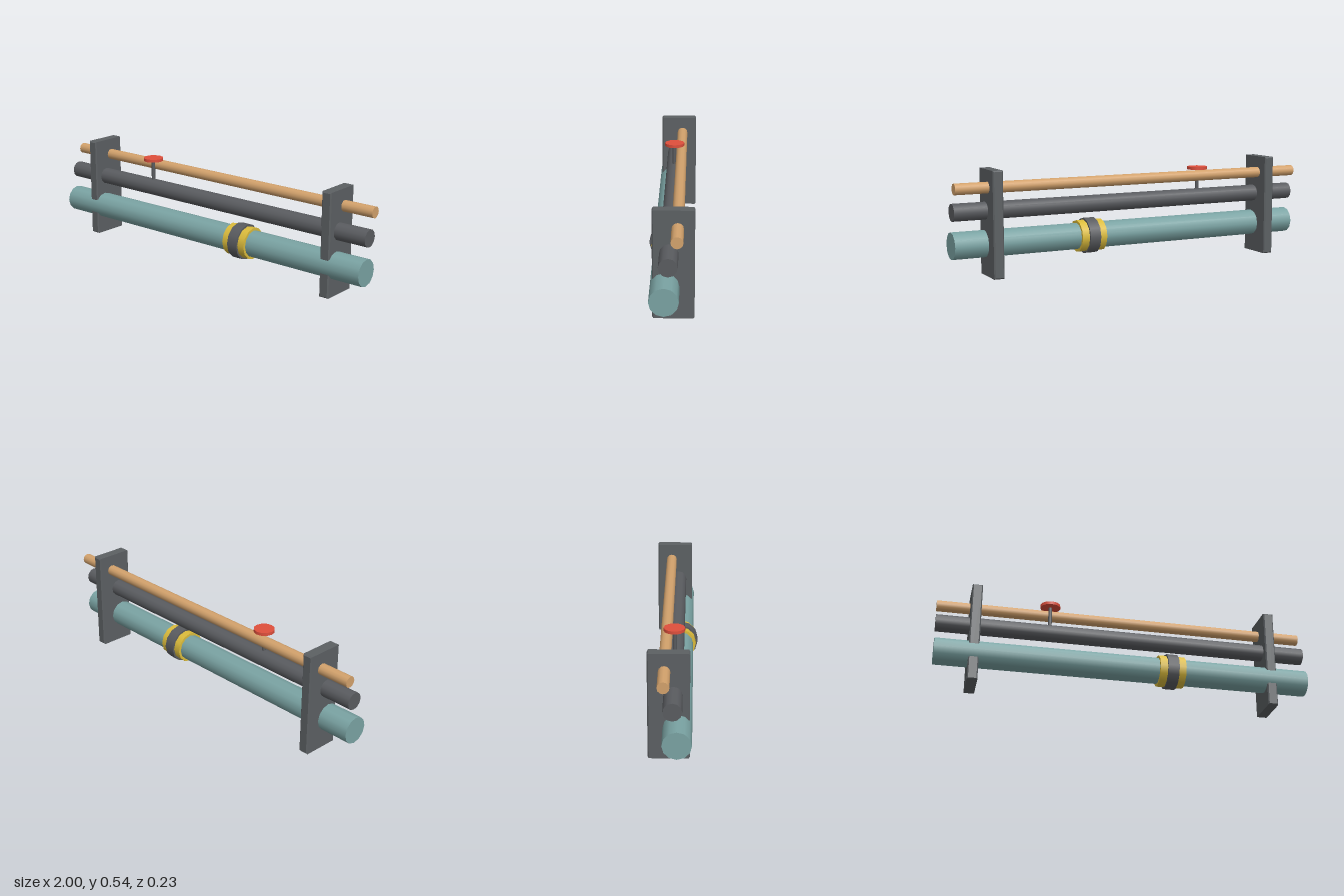
import * as THREE from 'three';

const mat = (color) => new THREE.MeshStandardMaterial({ color });
const SIDES = 12;

export function createModel() {
  const group = new THREE.Group();
  const teal = mat(0x7aa3a3), dark = mat(0x5a5c60), copper = mat(0xd3a26c);
  const yellow = mat(0xdcbc3c), red = mat(0xdf4f3c), steel = mat(0x5c6063);

  function add(name, geometry, material, x, y, z) {
    const mesh = new THREE.Mesh(geometry, material);
    mesh.name = name;
    mesh.position.set(x, y, z);
    group.add(mesh);
    return mesh;
  }
  // Cylinder lying along x
  function pipe(name, radius, length, material, x, y, z) {
    const geometry = new THREE.CylinderGeometry(radius, radius, length, SIDES);
    return add(name, geometry.rotateZ(Math.PI / 2), material, x, y, z);
  }
  // Box with chamfered edges
  function chamferBox(w, h, d, c) {
    const x = w / 2 - c, y = h / 2 - c;
    const shape = new THREE.Shape([[-x, -y], [x, -y], [x, y], [-x, y]].map((p) => new THREE.Vector2(...p)));
    const geometry = new THREE.ExtrudeGeometry(shape, {
      depth: d - 2 * c, bevelEnabled: true, bevelSize: c, bevelThickness: c, bevelSegments: 1,
    });
    return geometry.translate(0, 0, c - d / 2);
  }

  // Three parallel pipes
  pipe('largePipe', 0.07, 2, teal, 0, 0.161, 0.024);
  pipe('middlePipe', 0.045, 2, dark, 0, 0.331, 0.004);
  pipe('smallPipe', 0.029, 2, copper, 0, 0.451, -0.037);

  // Coupling around the large pipe
  pipe('couplingSleeve', 0.084, 0.14, yellow, 0.247, 0.161, 0.024);
  pipe('couplingBand', 0.094, 0.06, dark, 0.247, 0.161, 0.024);

  // Support plates
  for (const side of [-1, 1]) {
    add(side < 0 ? 'rightSupport' : 'leftSupport', chamferBox(0.054, 0.54, 0.2, 0.006), steel, side * 0.798, 0.27, -0.017);
  }

  // Valve on the middle pipe
  add('valveStem', new THREE.CylinderGeometry(0.01, 0.01, 0.13, 8), dark, -0.402, 0.42, 0.004);
  add('valveHandle', new THREE.CylinderGeometry(0.054, 0.054, 0.016, SIDES), red, -0.402, 0.489, 0.002);

  return group;
}
